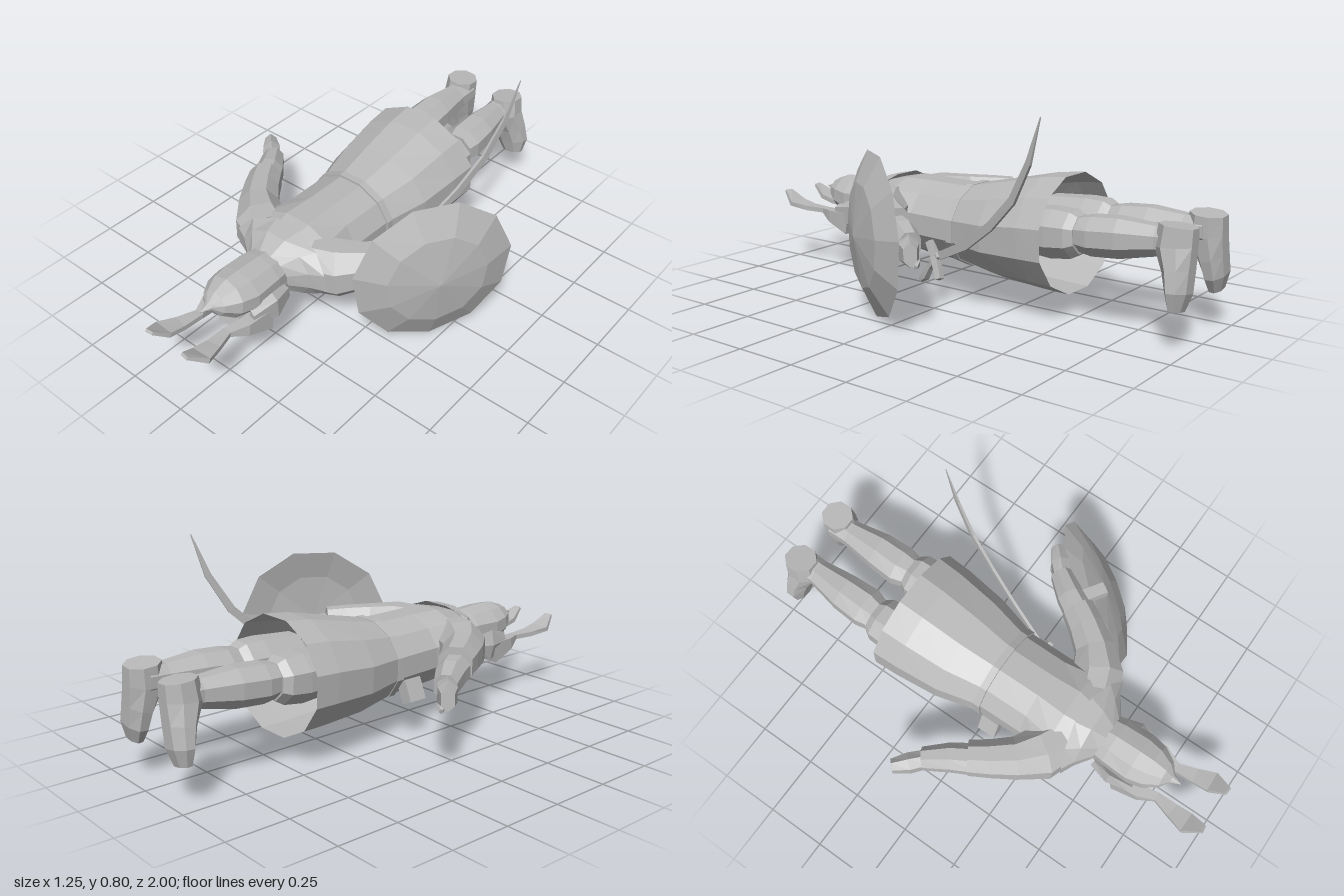
import * as THREE from 'three';

const grey = new THREE.MeshStandardMaterial({ color: 0xb8b8b8, side: THREE.DoubleSide });
grey.name = 'stone grey';

// Faceted tube through rings [x, y, z, half width, half height]; flats sit on the extents
function loftGeometry(rings, sides, { capped = true, ref = [0, 1, 0] } = {}) {
  const centres = rings.map(r => new THREE.Vector3(r[0], r[1], r[2]));
  const up = new THREE.Vector3(...ref);
  const grow = 1 / Math.cos(Math.PI / sides);
  const loops = rings.map((r, i) => {
    const t = centres[Math.min(i + 1, rings.length - 1)].clone().sub(centres[Math.max(i - 1, 0)]).normalize();
    const s = up.clone().cross(t).normalize();
    const u = t.clone().cross(s);
    return Array.from({ length: sides }, (_, j) => {
      const a = (j + 0.5) / sides * Math.PI * 2;
      return centres[i].clone()
        .addScaledVector(s, Math.cos(a) * r[3] * grow)
        .addScaledVector(u, Math.sin(a) * r[4] * grow);
    });
  });
  const pts = [];
  const last = rings.length - 1;
  for (let j = 0; j < sides; j++) {
    const k = (j + 1) % sides;
    for (let i = 0; i < last; i++) {
      const a = loops[i][j], b = loops[i][k], c = loops[i + 1][k], d = loops[i + 1][j];
      pts.push(a, b, c, a, c, d);
    }
    if (capped) {
      pts.push(centres[0], loops[0][k], loops[0][j]);
      pts.push(centres[last], loops[last][j], loops[last][k]);
    }
  }
  const geo = new THREE.BufferGeometry().setFromPoints(pts);
  geo.computeVertexNormals();
  return geo;
}

export function createModel() {
  const model = new THREE.Group();
  const body = new THREE.Group();
  body.name = 'figure';
  body.position.x = -0.03;
  model.add(body);

  const add = (parent, name, geo) => {
    const mesh = new THREE.Mesh(geo, grey);
    mesh.name = name;
    parent.add(mesh);
    return mesh;
  };
  const loft = (parent, name, rings, sides, options) => add(parent, name, loftGeometry(rings, sides, options));

  // Flared tunic skirt, open towards the feet
  loft(body, 'skirt', [
    [0, 0.305, -0.465, 0.26, 0.222], [0, 0.3, -0.36, 0.255, 0.215],
    [0, 0.285, -0.18, 0.235, 0.19], [0, 0.28, -0.01, 0.19, 0.16],
  ], 12, { capped: false });
  loft(body, 'belt', [[0, 0.28, -0.02, 0.195, 0.165], [0, 0.28, 0.01, 0.195, 0.165]], 12);
  loft(body, 'torso', [
    [0, 0.28, 0, 0.187, 0.155], [0, 0.285, 0.2, 0.185, 0.152],
    [0, 0.3, 0.33, 0.21, 0.138], [0, 0.305, 0.42, 0.16, 0.11], [0, 0.3, 0.485, 0.09, 0.08],
  ], 12);

  // Shoulder cape, its rim swept forward at the shoulders
  const cape = loftGeometry([
    [0, 0.305, 0.365, 0.22, 0.138], [0, 0.305, 0.43, 0.165, 0.125], [0, 0.3, 0.49, 0.1, 0.085],
  ], 12, { capped: false });
  const p = cape.attributes.position;
  for (let i = 0; i < p.count; i++) {
    const w = Math.max(0, (0.49 - p.getZ(i)) / 0.125);
    p.setZ(i, p.getZ(i) + w * p.getX(i) ** 2 * 1.1);
  }
  cape.computeVertexNormals();
  add(body, 'shoulderCape', cape);

  // Head faces downwards (-y)
  loft(body, 'face', [
    [0, 0.24, 0.46, 0.07, 0.075], [0, 0.225, 0.53, 0.085, 0.075],
    [0, 0.225, 0.63, 0.085, 0.07], [0, 0.25, 0.71, 0.06, 0.05],
  ], 8);
  loft(body, 'helmet', [
    [0, 0.31, 0.46, 0.09, 0.07], [0, 0.315, 0.53, 0.1, 0.075], [0, 0.31, 0.64, 0.105, 0.085],
    [0, 0.32, 0.71, 0.09, 0.075], [0, 0.33, 0.765, 0.055, 0.045], [0, 0.332, 0.79, 0.02, 0.016],
    [0, 0.332, 0.83, 0.002, 0.002],
  ], 10);
  const nose = add(body, 'nose', new THREE.ConeGeometry(0.018, 0.05, 4).toNonIndexed());
  nose.geometry.computeVertexNormals();
  nose.rotation.x = Math.PI;
  nose.position.set(0, 0.15, 0.645);

  // Mirrored limbs and helmet plumes
  for (const s of [1, -1]) {
    const side = s > 0 ? 'left' : 'right';
    const pair = (name, rings, sides, options) =>
      loft(body, side + name, rings.map(([x, ...rest]) => [x * s, ...rest]), sides, options);

    pair('Sleeve', [
      [0.12, 0.3, 0.35, 0.09, 0.11], [0.2, 0.305, 0.315, 0.1, 0.108], [0.28, 0.315, 0.245, 0.078, 0.088],
      [0.34, 0.32, 0.165, 0.07, 0.078], [0.385, 0.32, 0.095, 0.065, 0.073],
    ], 8);
    pair('Bracer', [
      [0.365, 0.305, 0.13, 0.06, 0.06], [0.42, 0.302, 0.035, 0.055, 0.06], [0.485, 0.292, -0.055, 0.043, 0.05],
    ], 8);
    pair('Hand', [
      [0.47, 0.29, -0.035, 0.033, 0.04], [0.53, 0.285, -0.09, 0.036, 0.05], [0.58, 0.29, -0.138, 0.024, 0.038],
    ], 6);
    pair('Thumb', [
      [0.48, 0.26, -0.06, 0.014, 0.018], [0.51, 0.24, -0.105, 0.015, 0.016], [0.535, 0.232, -0.125, 0.007, 0.008],
    ], 5);
    pair('Plume', [
      [0.1, 0.21, 0.6, 0.03, 0.045], [0.095, 0.23, 0.71, 0.026, 0.025], [0.072, 0.24, 0.78, 0.018, 0.01],
      [0.085, 0.245, 0.86, 0.03, 0.01], [0.098, 0.26, 0.93, 0.042, 0.01], [0.09, 0.305, 0.995, 0.016, 0.006],
    ], 4);
    pair('EarFlap', [
      [0.1, 0.26, 0.5, 0.015, 0.03], [0.118, 0.25, 0.58, 0.018, 0.055], [0.1, 0.25, 0.68, 0.015, 0.03],
    ], 5);

    pair('Thigh', [
      [0.12, 0.33, -0.28, 0.08, 0.08], [0.12, 0.33, -0.45, 0.093, 0.092],
      [0.12, 0.335, -0.53, 0.09, 0.085], [0.12, 0.337, -0.56, 0.07, 0.068],
    ], 8);
    pair('Shin', [
      [0.12, 0.34, -0.54, 0.062, 0.06], [0.115, 0.342, -0.61, 0.08, 0.072], [0.115, 0.35, -0.72, 0.074, 0.072],
      [0.11, 0.36, -0.86, 0.052, 0.053], [0.11, 0.365, -0.94, 0.055, 0.052],
    ], 8);
    pair('Foot', [
      [0.12, 0.425, -0.935, 0.06, 0.064], [0.125, 0.35, -0.93, 0.065, 0.069], [0.14, 0.27, -0.95, 0.07, 0.05],
      [0.155, 0.2, -0.96, 0.07, 0.04], [0.165, 0.14, -0.958, 0.045, 0.024],
    ], 8, { ref: [0, 0, 1] });
  }

  // Belt pouch on the right hip
  const pouch = add(body, 'pouch', new THREE.BoxGeometry(0.05, 0.09, 0.08));
  pouch.position.set(-0.185, 0.18, 0.06);
  pouch.rotation.z = -0.4;

  // Curved sabre hanging at the left hip
  loft(model, 'sabreBlade', [
    [0.19, 0.185, 0.02, 0.006, 0.016], [0.243, 0.265, -0.15, 0.006, 0.017], [0.285, 0.365, -0.29, 0.006, 0.017],
    [0.32, 0.48, -0.41, 0.006, 0.016], [0.347, 0.625, -0.495, 0.005, 0.013], [0.365, 0.79, -0.553, 0.001, 0.002],
  ], 4);
  loft(model, 'sabreGuard', [
    [0.185, 0.235, 0.075, 0.012, 0.012], [0.19, 0.18, 0.04, 0.016, 0.014], [0.215, 0.1, 0.0, 0.014, 0.012],
  ], 4, { ref: [0, 0, 1] });
  loft(model, 'sabreGrip', [
    [0.195, 0.19, 0.02, 0.013, 0.013], [0.18, 0.13, 0.075, 0.012, 0.013],
    [0.168, 0.085, 0.11, 0.015, 0.018], [0.165, 0.065, 0.135, 0.01, 0.01],
  ], 5);

  // Domed round shield on the left forearm
  const shield = new THREE.Group();
  shield.name = 'shield';
  shield.position.set(0.457, 0.31, 0.11);
  shield.rotation.y = Math.atan2(0.84, 0.54);
  model.add(shield);
  const profile = [[0.318, 0], [0.2, 0.055], [0.001, 0.085]].map(([r, d]) => new THREE.Vector2(r, d));
  const dome = new THREE.LatheGeometry(profile, 11).rotateX(Math.PI / 2).toNonIndexed();
  dome.computeVertexNormals();
  add(shield, 'shieldDome', dome);
  const back = profile.map(v => new THREE.Vector2(v.x, v.y * 0.6));
  const hollow = new THREE.LatheGeometry(back.reverse(), 11).rotateX(Math.PI / 2).toNonIndexed();
  hollow.computeVertexNormals();
  add(shield, 'shieldBack', hollow);
  const handle = add(shield, 'shieldStrap', new THREE.BoxGeometry(0.05, 0.04, 0.11));
  handle.position.set(0, 0, 0.005);

  return model;
}
